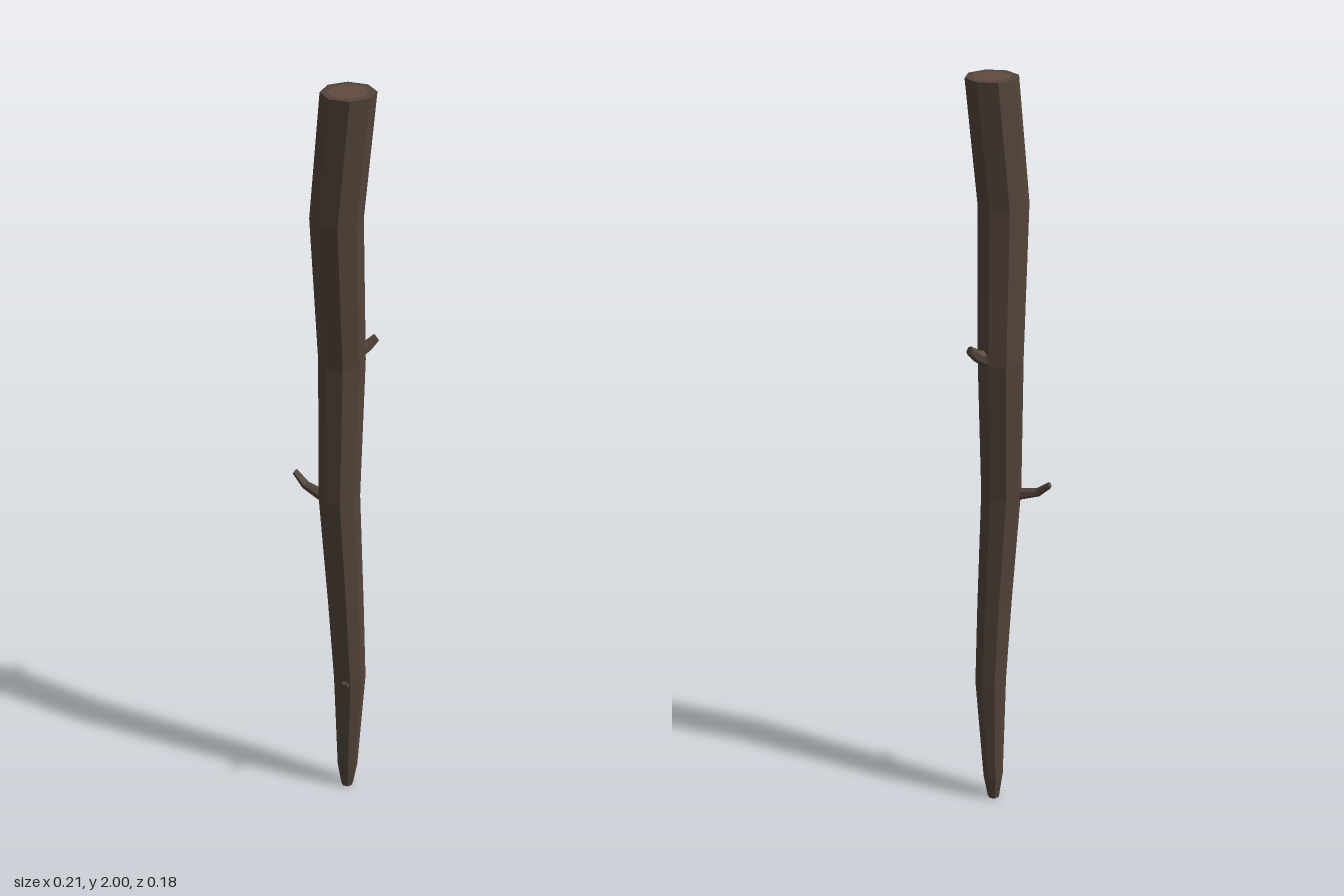
import * as THREE from 'three';

const bark = new THREE.MeshStandardMaterial({ color: 0x53443a, flatShading: true });
const wood = new THREE.MeshStandardMaterial({ color: 0x604a3d, flatShading: true });

// Lofts rings [x, y, z, radius] whose planes face the given axis, closing both ends.
function loft(name, rings, axis, sides) {
  const turn = new THREE.Quaternion().setFromUnitVectors(new THREE.Vector3(0, 1, 0), axis.clone().normalize());
  const positions = [];
  const index = [];
  for (const [x, y, z, r] of rings) {
    for (let i = 0; i < sides; i++) {
      const a = (i / sides) * Math.PI * 2;
      const p = new THREE.Vector3(Math.cos(a) * r, 0, Math.sin(a) * r).applyQuaternion(turn);
      positions.push(p.x + x, p.y + y, p.z + z);
    }
  }
  for (let k = 0; k < rings.length - 1; k++) {
    for (let i = 0; i < sides; i++) {
      const a = k * sides + i;
      const b = k * sides + (i + 1) % sides;
      index.push(a, a + sides, b, b, a + sides, b + sides);
    }
  }
  const last = (rings.length - 1) * sides;
  for (let i = 1; i < sides - 1; i++) {
    index.push(0, i, i + 1);
    index.push(last, last + i + 1, last + i);
  }
  const geometry = new THREE.BufferGeometry();
  geometry.setAttribute('position', new THREE.Float32BufferAttribute(positions, 3));
  geometry.setIndex(index);
  geometry.computeVertexNormals();
  const mesh = new THREE.Mesh(geometry, bark);
  mesh.name = name;
  return mesh;
}

// A twig stub runs along the line between its first and last ring.
function twig(name, rings) {
  const a = rings[0];
  const b = rings[rings.length - 1];
  return loft(name, rings, new THREE.Vector3(b[0] - a[0], b[1] - a[1], b[2] - a[2]), 6);
}

export function createModel() {
  const group = new THREE.Group();
  group.name = 'woodenStake';

  // Crooked eight-sided shaft, sharpened at the foot
  group.add(loft('shaft', [
    [0.04, 0, 0.009, 0.016],
    [0.041, 0.07, 0.009, 0.027],
    [0.047, 0.38, 0.008, 0.042],
    [0.038, 0.62, 0.014, 0.046],
    [0.022, 0.95, 0.022, 0.052],
    [0.009, 1.32, -0.001, 0.057],
    [0.018, 1.7, 0.027, 0.062],
    [0.04, 2, 0.012, 0.063],
  ], new THREE.Vector3(0, 1, 0), 8));

  // Paler heartwood on the cut top
  const heart = new THREE.Mesh(new THREE.CircleGeometry(0.046, 8), wood);
  heart.name = 'cutTop';
  heart.rotation.x = -Math.PI / 2;
  heart.position.set(0.04, 2.0005, 0.012);
  group.add(heart);

  // Three broken twigs
  group.add(twig('sideTwig', [
    [-0.01, 0.94, 0.04, 0.016],
    [-0.068, 0.956, 0.051, 0.011],
    [-0.1, 0.983, 0.055, 0.008],
  ]));
  group.add(twig('backTwig', [
    [0.02, 1.33, -0.035, 0.022],
    [0.036, 1.346, -0.065, 0.015],
    [0.046, 1.364, -0.083, 0.011],
  ]));
  group.add(twig('frontTwig', [
    [0.058, 0.375, 0.03, 0.013],
    [0.071, 0.388, 0.053, 0.009],
    [0.08, 0.408, 0.065, 0.006],
  ]));
  return group;
}
